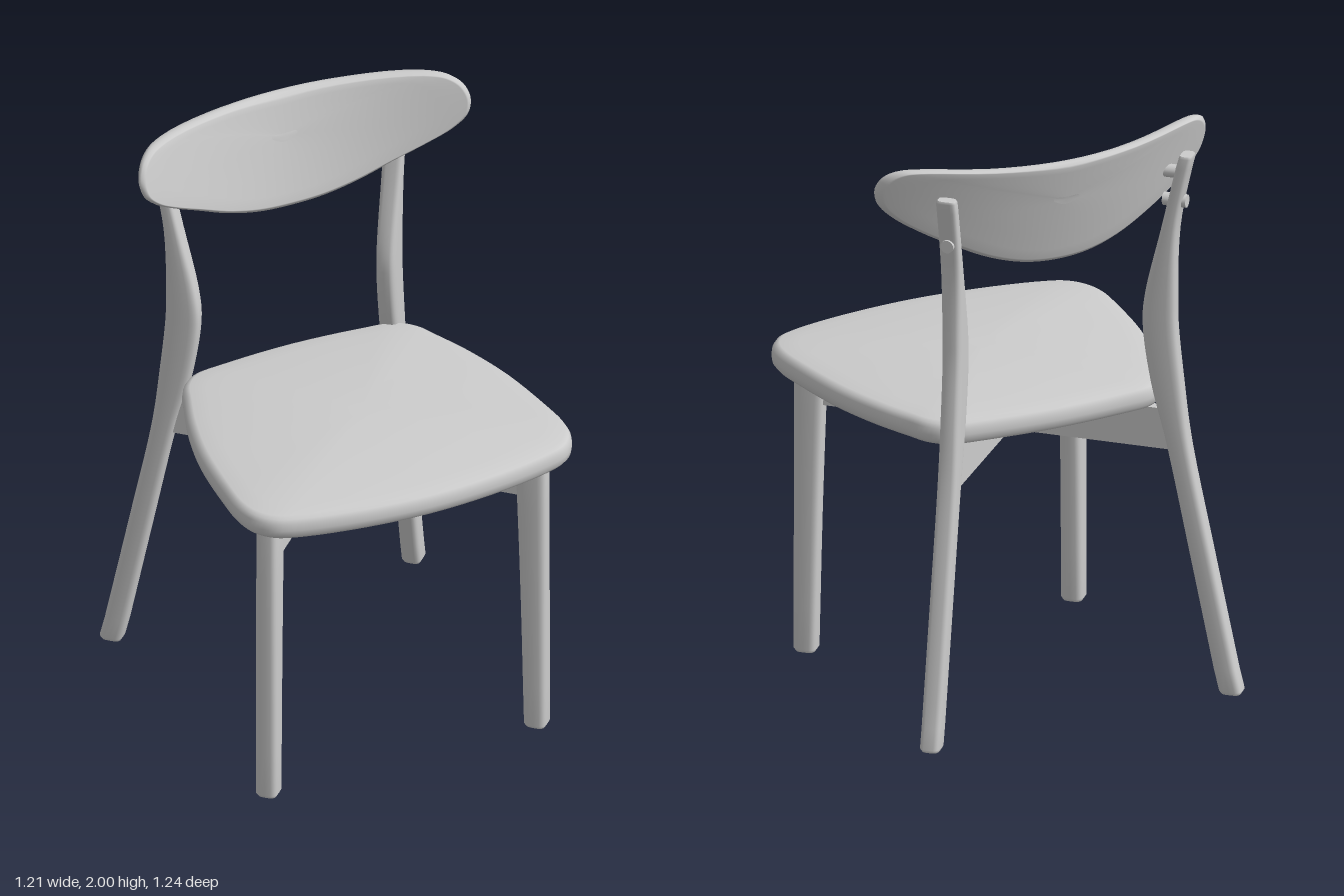
import * as THREE from 'three';

const V = (x, y, z) => new THREE.Vector3(x, y, z);

// Skin over cross-section rings (counter-clockwise about the direction of travel), with flat caps
function loft(rings) {
  const n = rings[0].length, pos = [], idx = [];
  const add = (p) => pos.push(p.x, p.y, p.z) / 3 - 1;
  rings.forEach((ring) => ring.forEach(add));
  for (let i = 0; i < rings.length - 1; i++) {
    for (let j = 0; j < n; j++) {
      const a = i * n + j, b = i * n + (j + 1) % n;
      idx.push(a, b, b + n, a, b + n, a + n);
    }
  }
  [rings[0], rings[rings.length - 1]].forEach((ring, end) => {
    const centre = V(0, 0, 0);
    ring.forEach((p) => centre.addScaledVector(p, 1 / n));
    const c = add(centre), first = c + 1;
    ring.forEach(add);
    for (let j = 0; j < n; j++) {
      const a = first + j, b = first + (j + 1) % n;
      if (end) idx.push(c, a, b); else idx.push(c, b, a);
    }
  });
  const g = new THREE.BufferGeometry();
  g.setAttribute('position', new THREE.Float32BufferAttribute(pos, 3));
  g.setIndex(idx);
  g.computeVertexNormals();
  return g;
}

// Closed smooth outline from one half, listed from bottom centre to top centre
function mirroredOutline(half) {
  const right = half.map(([u, v]) => V(u, v, 0));
  const left = half.slice(1, -1).reverse().map(([u, v]) => V(-u, v, 0));
  return new THREE.CatmullRomCurve3([...right, ...left], true).getPoints(112).slice(0, -1);
}

// Soft-edged panel: each layer is [scale, edge inset, height]
function panel(outline, cv, layers, place) {
  return loft(layers.map(([s, inset, h]) => outline.map((p) => {
    const u = p.x, v = p.y - cv, k = s * (1 - inset / Math.hypot(u, v));
    return place(u * k, cv + v * k, h, s);
  })));
}

// Upright leg: x is the radial direction, profile rows are [y, inner, outer]
function legGeometry(profile, width, steps) {
  const curve = (k) => new THREE.CatmullRomCurve3(profile.map((r) => V(r[k], r[0], 0)));
  const inner = curve(1), outer = curve(2);
  const ringAt = (t, shrink, lift) => {
    const a = inner.getPoint(t), b = outer.getPoint(t);
    const mid = (a.x + b.x) / 2, rx = (b.x - a.x) / 2 * shrink, rz = width / 2 * shrink;
    const soft = (c) => Math.sign(c) * Math.abs(c) ** 0.55;
    return Array.from({ length: 24 }, (_, j) => {
      const q = j / 24 * Math.PI * 2;
      return V(mid + rx * soft(Math.cos(q)), a.y + lift, -rz * soft(Math.sin(q)));
    });
  };
  const rings = [ringAt(0, 0.82, 0), ringAt(0, 1, 0.012)];
  for (let i = 1; i < steps; i++) rings.push(ringAt(i / steps, 1, 0));
  rings.push(ringAt(1, 1, -0.008), ringAt(1, 0.85, 0));
  return loft(rings);
}

export function createModel() {
  const model = new THREE.Group();
  model.name = 'chair';
  const grey = new THREE.MeshStandardMaterial({ color: 0xcccccc });
  grey.name = 'light grey';
  const mesh = (name, geometry, parent) => {
    const m = new THREE.Mesh(geometry, grey);
    m.name = name;
    parent.add(m);
    return m;
  };

  // Seat: flat underside, rounded rim, gently domed top
  const seatOutline = mirroredOutline([
    [0, -0.622], [0.25, -0.603], [0.46, -0.56], [0.53, -0.53], [0.575, -0.475], [0.593, -0.4],
    [0.588, -0.28], [0.56, -0.05], [0.51, 0.14], [0.46, 0.27], [0.425, 0.35], [0.37, 0.4],
    [0.25, 0.42], [0, 0.435],
  ]);
  const seat = panel(seatOutline, -0.1, [
    [0.3, 0.03, 1.01], [0.99, 0.02, 1.01], [1, 0.014, 1.012], [1, 0.003, 1.025], [1, 0, 1.045],
    [1, 0.003, 1.068], [1, 0.012, 1.082], [1, 0.027, 1.09],
    [0.9, 0.027, 1.09], [0.75, 0.027, 1.09], [0.5, 0.027, 1.09], [0.25, 0.027, 1.09], [0.08, 0.027, 1.09],
  ], (u, v, h, s) => V(u + 0.005, h + (h >= 1.09 ? 0.035 * (1 - s * s) : 0), -v));
  mesh('seat', seat, model);

  // Backrest: leaf-shaped panel, leaning back and curved around the sitter
  const backOutline = mirroredOutline([
    [0, 1.61], [0.12, 1.62], [0.24, 1.655], [0.36, 1.712], [0.46, 1.765], [0.54, 1.818],
    [0.585, 1.868], [0.597, 1.92], [0.58, 1.965], [0.545, 1.99], [0.49, 1.999], [0.25, 1.993], [0, 1.991],
  ]);
  const front = [[1, 0.004, -0.013], [1, 0.014, -0.003], [1, 0.02, 0]];
  const back = front.map(([s, inset, h]) => [s, inset, -0.048 - h]).reverse();
  const inside = [0.85, 0.65, 0.45, 0.25, 0.08];
  const backrest = panel(backOutline, 1.85, [
    ...inside.map((s) => [s, 0.02, -0.048]).reverse(), ...back, [1, 0, -0.024],
    ...front, ...inside.map((s) => [s, 0.02, 0]),
  ], (u, v, h) => V(u + 0.005, v, -0.405 - 0.25 * (v - 1.61) + 0.53 * u * u + h));
  mesh('backrest', backrest, model);

  // Frame: four legs on the diagonals, each radiating from the crossing of the rails
  const frontLeg = legGeometry([[0, 0.645, 0.722], [0.5, 0.633, 0.722], [1.015, 0.615, 0.722]], 0.075, 6);
  const backLeg = legGeometry([
    [0.04, 0.728, 0.806], [0.5, 0.632, 0.709], [0.9, 0.547, 0.627], [1.1, 0.495, 0.602],
    [1.3, 0.467, 0.582], [1.4, 0.474, 0.58], [1.65, 0.533, 0.588], [1.905, 0.592, 0.638],
  ], 0.068, 40);
  const dowel = new THREE.CylinderGeometry(0.022, 0.022, 0.08, 16).rotateZ(Math.PI / 2);
  const frame = new THREE.Group();
  frame.name = 'frame';
  frame.position.set(-0.02, 0, -0.03);
  model.add(frame);
  ['backLeft', 'backRight', 'frontRight', 'frontLeft'].forEach((corner, i) => {
    const arm = new THREE.Group();
    arm.name = corner + 'Support';
    arm.rotation.y = Math.PI / 4 + i * Math.PI / 2;
    frame.add(arm);
    const isBack = i < 2;
    mesh(corner + 'Leg', isBack ? backLeg : frontLeg, arm);

    // Diagonal rail under the seat
    const length = isBack ? 0.58 : 0.65;
    mesh(corner + 'Rail', new THREE.BoxGeometry(length, 0.14, 0.036), arm).position.set(length / 2, 0.94, 0);

    // Dowels joining the leg to the backrest
    if (isBack) [1.74, 1.84].forEach((y) => mesh(corner + 'Dowel', dowel, arm).position.set(0.575, y, 0));
  });
  return model;
}
